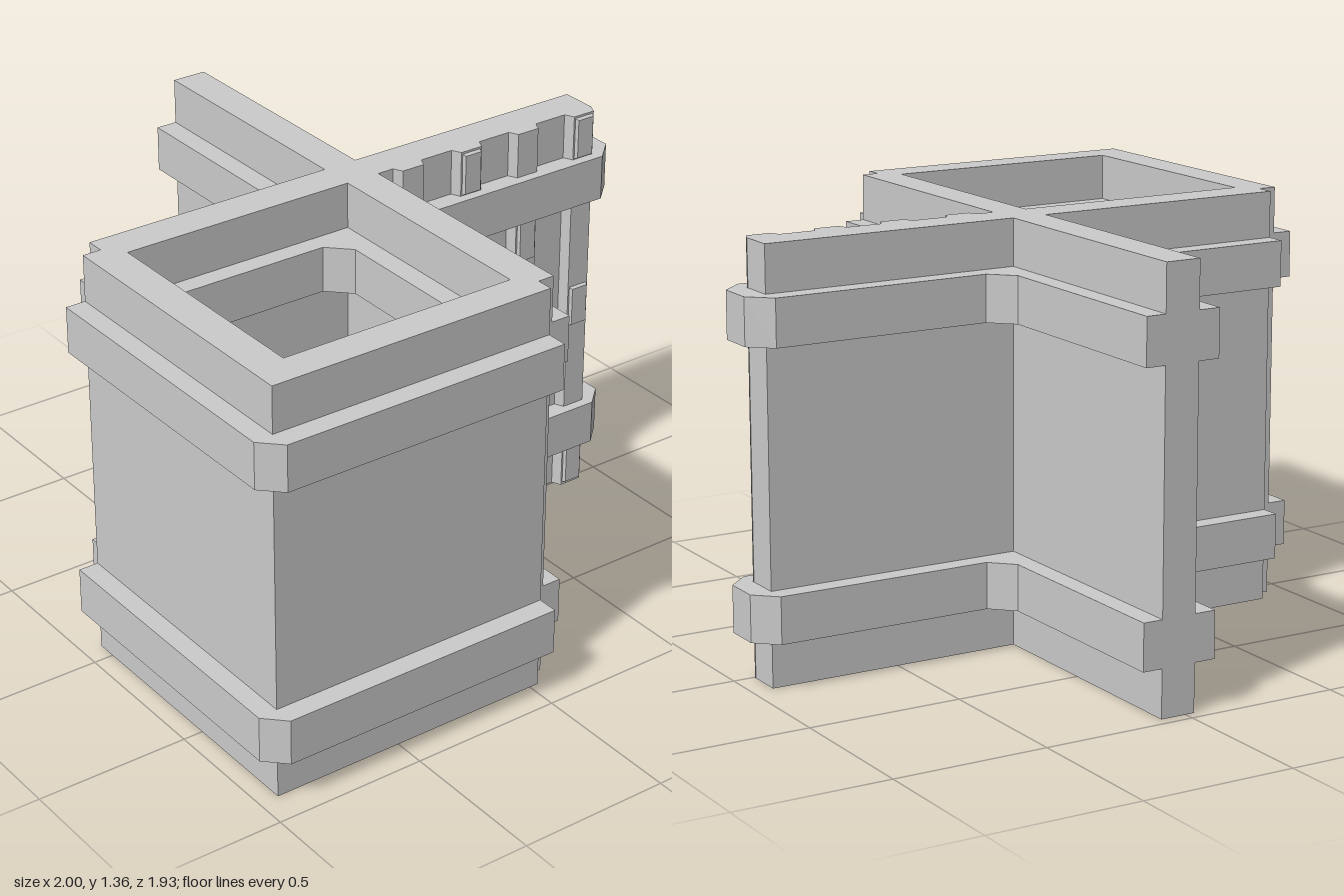
import * as THREE from 'three';

const HEIGHT = 1.36;
const material = new THREE.MeshStandardMaterial({ color: 0xcccccc, flatShading: true });

// Plan outlines as [x, z] corners
const wallOutline = [
  [0.085, 0.84], [0.085, -0.005], [0.93, -0.005], [0.93, -0.125], [0.085, -0.125],
  [0.085, -0.965], [-0.03, -0.965], [-0.03, -0.125], [-0.875, -0.125], [-0.875, -0.065],
  [-0.935, -0.065], [-0.935, 0.895], [0.03, 0.895], [0.03, 0.84],
];
const wallHole = [[-0.82, -0.005], [-0.03, -0.005], [-0.03, 0.785], [-0.82, 0.785]];

const bandOutline = [
  [0.15, 0.84], [0.15, 0.13], [0.22, 0.06], [0.93, 0.06], [1, -0.005], [1, -0.125], [0.93, -0.19],
  [0.22, -0.19], [0.15, -0.26], [0.15, -0.965], [-0.1, -0.965], [-0.1, -0.26], [-0.17, -0.19],
  [-0.875, -0.19], [-0.875, -0.065], [-1, -0.065], [-1, 0.9], [-0.935, 0.965], [0.03, 0.965], [0.03, 0.84],
];
const bandHole = [
  [-0.755, 0.06], [-0.17, 0.06], [-0.1, 0.13], [-0.1, 0.715], [-0.675, 0.715], [-0.755, 0.64],
];

const toVectors = (points) => points.map(([x, z]) => new THREE.Vector2(x, -z));

// Extrudes a plan upward from y0 to y1
function addPlan(group, name, outline, hole, y0, y1) {
  const shape = new THREE.Shape(toVectors(outline));
  if (hole) shape.holes.push(new THREE.Path(toVectors(hole)));
  const geometry = new THREE.ExtrudeGeometry(shape, { depth: y1 - y0, bevelEnabled: false });
  geometry.rotateX(-Math.PI / 2).translate(0, y0, 0);
  const mesh = new THREE.Mesh(geometry, material);
  mesh.name = name;
  group.add(mesh);
}

// Raised block whose front face is drawn in by a bevel
function addPlate(group, x, y, width, height, z0, z1, bevel) {
  const geometry = new THREE.BoxGeometry(width, height, z1 - z0);
  const p = geometry.attributes.position;
  for (let i = 0; i < p.count; i++) {
    if (p.getZ(i) > 0) {
      p.setX(i, p.getX(i) - Math.sign(p.getX(i)) * bevel);
      p.setY(i, p.getY(i) - Math.sign(p.getY(i)) * bevel);
    }
  }
  geometry.computeVertexNormals();
  const mesh = new THREE.Mesh(geometry, material);
  mesh.name = 'ribPlate';
  mesh.position.set(x, y, (z0 + z1) / 2);
  group.add(mesh);
}

export function createModel() {
  const model = new THREE.Group();
  model.name = 'wallSections';

  // Walls stacked with the two projecting bands
  addPlan(model, 'wallBase', wallOutline, wallHole, 0, 0.155);
  addPlan(model, 'lowerBand', bandOutline, bandHole, 0.155, 0.305);
  addPlan(model, 'wallMiddle', wallOutline, wallHole, 0.305, 1.06);
  addPlan(model, 'upperBand', bandOutline, bandHole, 1.06, 1.21);
  addPlan(model, 'wallTop', wallOutline, wallHole, 1.21, HEIGHT);

  // Ribbed panel on the front of the side wall
  const panel = new THREE.Group();
  panel.name = 'ribbedPanel';
  model.add(panel);
  const staggered = [[0.38, 0.98], [0.08, 0.68, 1.283]];
  for (let i = 0; i < 4; i++) {
    const x = 0.196 + i * 0.2265;
    addPlan(panel, 'rib', [
      [x - 0.057, -0.01], [x - 0.04, 0.026], [x + 0.04, 0.026], [x + 0.057, -0.01],
    ], null, 0, HEIGHT);
    for (const y of staggered[i % 2]) addPlate(panel, x, y, 0.074, 0.145, 0.02, 0.037, 0.007);
  }
  return model;
}
